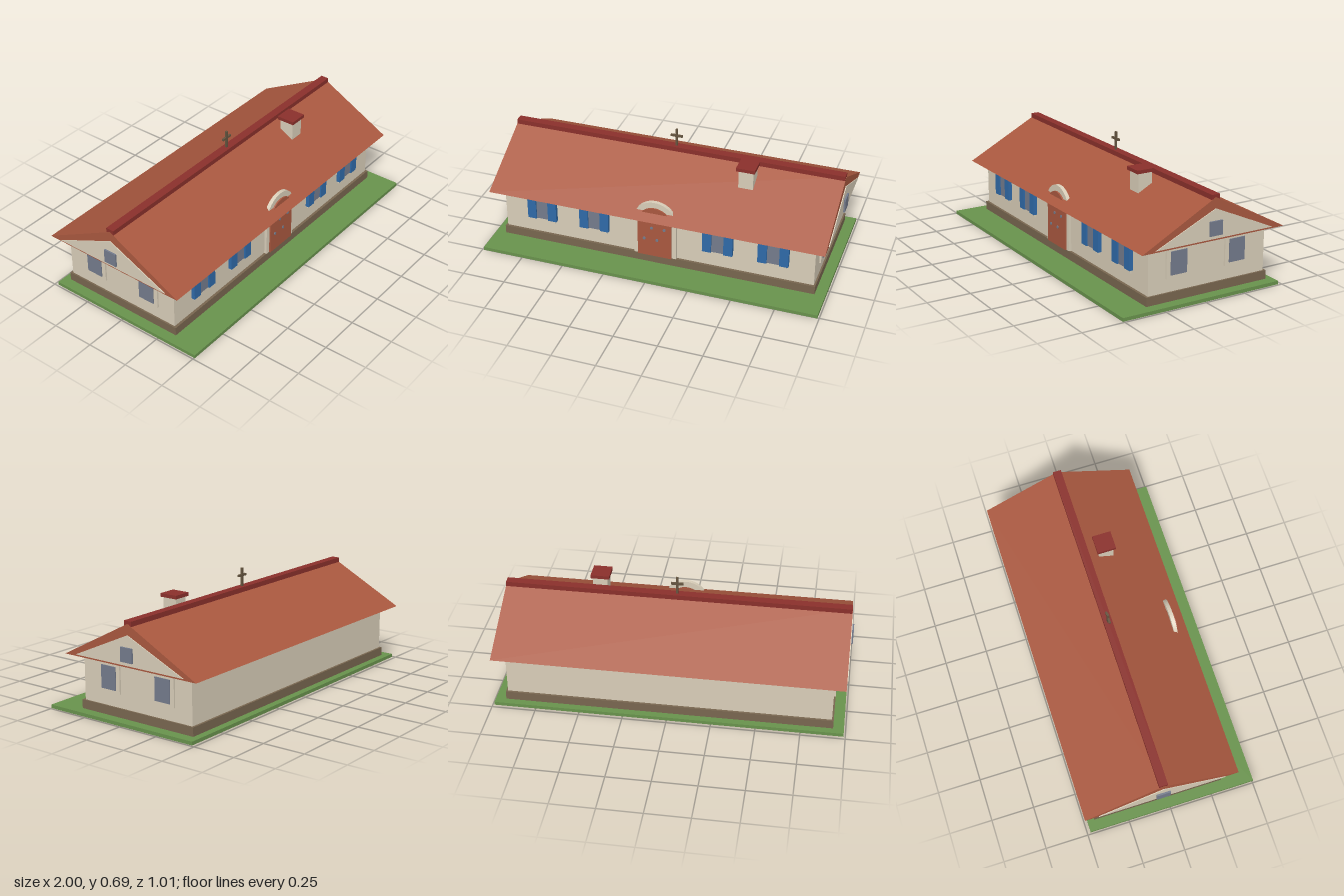
import * as THREE from 'three';

const paint = (name, color) => {
  const m = new THREE.MeshStandardMaterial({ color });
  m.name = name;
  return m;
};

export function createModel() {
  const house = new THREE.Group();
  house.name = 'house';
  const plaster = paint('cream plaster', 0xd8cdb8);
  const tile = paint('terracotta', 0xa9583f);
  const ridgeRed = paint('dark red tile', 0x8a302b);
  const blue = paint('shutter blue', 0x2f6aa8);
  const glass = paint('grey glass', 0x747b8c);
  const stone = paint('brown stone', 0x78664f);
  const grass = paint('grass green', 0x68924c);
  const wood = paint('dark wood', 0x64543f);

  const add = (name, geometry, material) => {
    const mesh = new THREE.Mesh(geometry, material);
    mesh.name = name;
    house.add(mesh);
    return mesh;
  };
  // Box given by its low and high limits on each axis
  const box = (name, material, x0, x1, y0, y1, z0, z1) => {
    const mesh = add(name, new THREE.BoxGeometry(x1 - x0, y1 - y0, z1 - z0), material);
    mesh.position.set((x0 + x1) / 2, (y0 + y1) / 2, (z0 + z1) / 2);
    return mesh;
  };
  // Triangular prism running along x, from (z, y) corners
  const prism = (name, material, corners, x0, x1) => {
    const shape = new THREE.Shape(corners.map(([z, y]) => new THREE.Vector2(-z, y)));
    const g = new THREE.ExtrudeGeometry(shape, { depth: x1 - x0, bevelEnabled: false });
    g.rotateY(Math.PI / 2).translate(x0, 0, 0);
    return add(name, g, material);
  };

  // Ground, base and walls
  box('lawn', grass, -0.99, 0.99, 0, 0.02, -0.48, 0.505);
  box('plinth', stone, -0.93, 0.93, 0.02, 0.07, -0.44, 0.327);
  box('walls', plaster, -0.92, 0.92, 0.07, 0.332, -0.427, 0.312);

  // Roof, ridge and gables
  prism('roof', tile, [[0.39, 0.33], [-0.505, 0.33], [-0.057, 0.565]], -0.985, 0.985);
  box('ridgeCap', ridgeRed, -0.984, 0.984, 0.55, 0.58, -0.082, -0.033);
  for (const s of [-1, 1]) {
    const [a, b] = s < 0 ? [-0.99, -0.98] : [0.98, 0.99];
    prism('gablePanel', plaster, [[0.31, 0.34], [-0.425, 0.34], [-0.057, 0.505]], a, b);
    box('gableWindow', glass, s > 0 ? 0.985 : -1, s > 0 ? 1 : -0.985, 0.36, 0.44, -0.095, -0.016);
  }

  // Side windows with raised surrounds
  for (const s of [-1, 1]) for (const z of [0.13, -0.24]) {
    const frame = box('sideWindowFrame', plaster, -0.01, 0.01, 0.147, 0.315, z - 0.075, z + 0.075);
    frame.position.x = s * 0.92;
    const pane = box('sideWindowPane', glass, -0.008, 0.008, 0.165, 0.296, z - 0.05, z + 0.05);
    pane.position.x = s * 0.927;
  }

  // Front windows with shutters
  for (const x of [-0.687, -0.367, 0.367, 0.687]) {
    box('frontWindowFrame', plaster, x - 0.075, x + 0.075, 0.147, 0.315, 0.305, 0.321);
    box('frontWindowPane', glass, x - 0.05, x + 0.05, 0.168, 0.296, 0.31, 0.325);
    for (const s of [-1, 1]) {
      const c = x + s * 0.062;
      box('shutter', blue, c - 0.026, c + 0.026, 0.167, 0.296, 0.31, 0.334);
    }
  }

  // Arched opening outline, standing on the plinth
  const archShape = (Type, r, spring) => {
    const p = new Type();
    p.moveTo(-r, 0.07);
    p.lineTo(r, 0.07);
    p.lineTo(r, spring);
    p.absarc(0, spring, r, 0, Math.PI, false);
    p.lineTo(-r, 0.07);
    return p;
  };
  const surround = archShape(THREE.Shape, 0.125, 0.3);
  surround.holes.push(archShape(THREE.Path, 0.098, 0.29));
  const slab = (shape, depth) =>
    new THREE.ExtrudeGeometry(shape, { depth, bevelEnabled: false, curveSegments: 12 });
  add('doorSurround', slab(surround, 0.022), plaster).position.z = 0.306;
  add('door', slab(archShape(THREE.Shape, 0.1, 0.29), 0.03), tile).position.z = 0.307;
  for (const [x, y] of [[-0.016, 0.26], [0.059, 0.26], [-0.06, 0.183], [0.016, 0.183]]) {
    const stud = add('doorStud', new THREE.CylinderGeometry(0.009, 0.009, 0.006, 8), glass);
    stud.rotation.x = Math.PI / 2;
    stud.position.set(x, y, 0.338);
  }

  // Chimney
  box('chimney', plaster, 0.415, 0.5, 0.4, 0.59, 0.02, 0.107);
  box('chimneyCap', ridgeRed, 0.402, 0.51, 0.59, 0.61, 0.01, 0.119);

  // Ridge cross
  box('crossPost', wood, -0.006, 0.006, 0.57, 0.685, -0.063, -0.051);
  box('crossArm', wood, -0.035, 0.035, 0.637, 0.649, -0.063, -0.051);
  return house;
}
